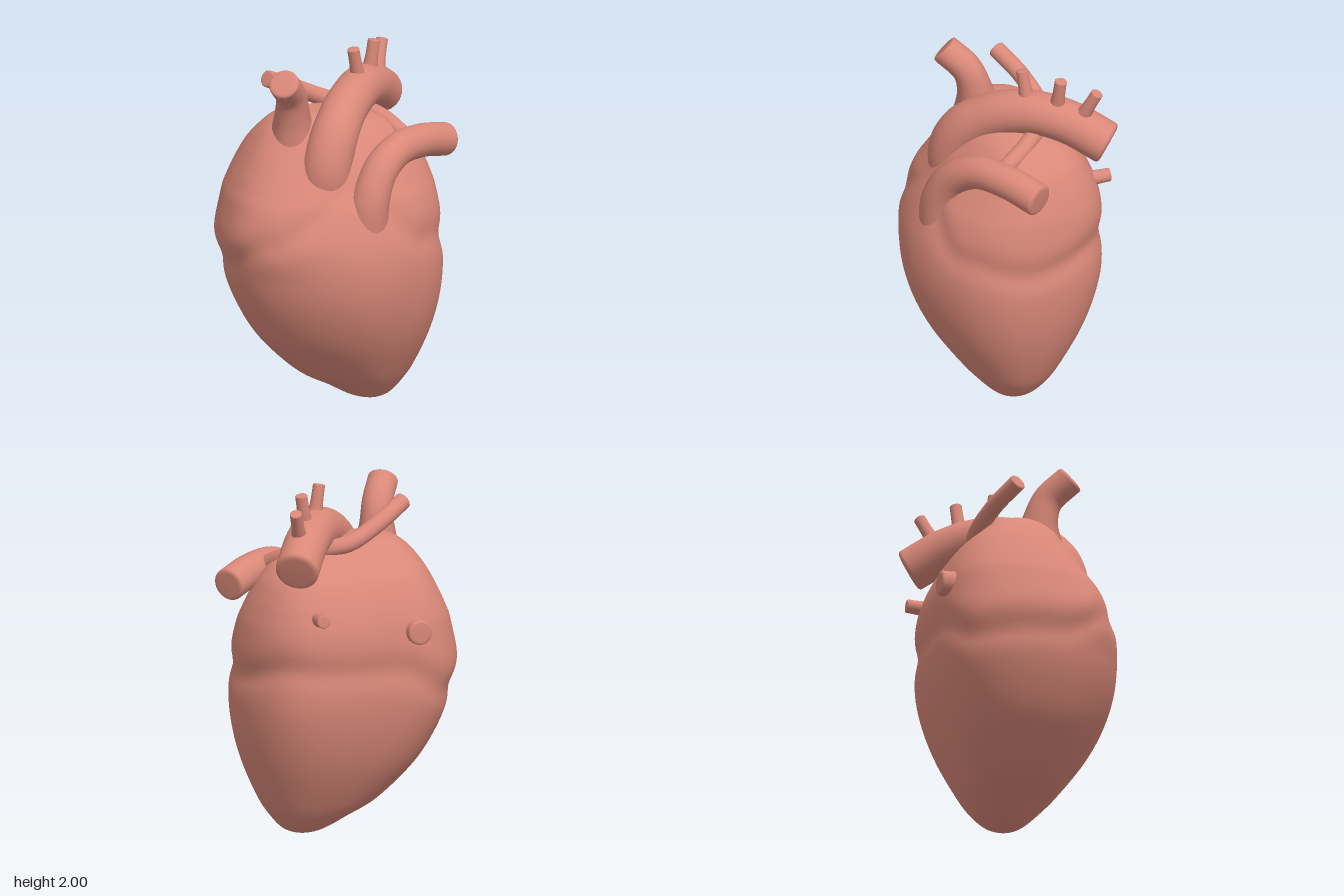
import * as THREE from 'three';

const material = new THREE.MeshStandardMaterial({ color: 0xd98878 });
const V = (p) => new THREE.Vector3(...p);

// Cross-sections of the body: y, xMin, xMax, zMin, zMax
const SECTIONS = [
  [0, 0.19, 0.19, 0, 0], [0.007, 0.125, 0.25, -0.065, 0.065], [0.035, 0.045, 0.31, -0.125, 0.12],
  [0.1, -0.07, 0.37, -0.2, 0.19], [0.2, -0.25, 0.435, -0.28, 0.28], [0.4, -0.455, 0.517, -0.395, 0.42],
  [0.6, -0.575, 0.567, -0.47, 0.51], [0.8, -0.645, 0.585, -0.51, 0.55], [1.0, -0.675, 0.575, -0.515, 0.535],
  [1.2, -0.638, 0.56, -0.505, 0.46], [1.3, -0.598, 0.535, -0.485, 0.4], [1.4, -0.55, 0.495, -0.445, 0.33],
  [1.5, -0.495, 0.435, -0.385, 0.26], [1.59, -0.43, 0.32, -0.29, 0.19], [1.65, -0.36, 0.16, -0.22, 0.12],
  [1.685, -0.28, 0, -0.13, 0.06], [1.69, -0.15, -0.15, -0.04, -0.04],
];

// Height of the groove between upper and lower chambers, every 45 degrees from +x through +z
const GROOVE = [0.93, 1.0, 1.31, 1.04, 0.86, 0.83, 1.0, 1.02];
function grooveHeight(a) {
  const t = (a / (Math.PI * 2)) * 8, i = Math.floor(t) % 8, f = t - Math.floor(t);
  const s = f * f * (3 - 2 * f);
  return GROOVE[i] * (1 - s) + GROOVE[(i + 1) % 8] * s;
}
const bump = (d, w) => Math.exp(-(d * d) / (w * w));

function bodyGeometry() {
  const mid = new THREE.CatmullRomCurve3(
    SECTIONS.map(([y, a, b, c, d]) => V([(a + b) / 2, y, (c + d) / 2])), false, 'catmullrom');
  const half = new THREE.CatmullRomCurve3(
    SECTIONS.map(([, a, b, c, d]) => V([(b - a) / 2, 0, (d - c) / 2])), false, 'catmullrom');
  const rows = 112, cols = 120, pos = [], index = [];
  for (let r = 0; r <= rows; r++) {
    const m = mid.getPoint(r / rows), h = half.getPoint(r / rows);
    const upper = THREE.MathUtils.smoothstep(m.y, 0.8, 1.1);
    for (let k = 0; k < cols; k++) {
      const a = (k / cols) * Math.PI * 2, c = Math.cos(a), s = Math.sin(a);
      // squarer at the back and on the upper right, rounder in front
      const n = 2.1 + (s < 0 ? -1.0 * s * Math.min(1, m.y * 1.3) : -0.25 * s) + (c < 0 && s > 0 ? -0.45 * c * upper : 0);
      const x = Math.sign(c) * Math.abs(c) ** (2 / n), z = Math.sign(s) * Math.abs(s) ** (2 / n);
      // soft groove around the heart, swelling above it, and a shallow front furrow
      const d = m.y - grooveHeight(a);
      const furrow = bump(a - (1.05 - 0.5 * (m.y - 0.6)), 0.3) * bump(m.y - 0.65, 0.3);
      const scale = 1 - 0.03 * bump(d, 0.075) + 0.012 * bump(d - 0.14, 0.1) - 0.015 * furrow;
      pos.push(m.x + h.x * x * scale, m.y, m.z + h.z * z * scale);
      if (r < rows) {
        const p = r * cols + k, q = r * cols + (k + 1) % cols;
        index.push(p, p + cols, q, q, p + cols, q + cols);
      }
    }
  }
  const g = new THREE.BufferGeometry();
  g.setAttribute('position', new THREE.Float32BufferAttribute(pos, 3));
  g.setIndex(index);
  g.computeVertexNormals();
  return g;
}

export function createModel() {
  const model = new THREE.Group();
  model.name = 'heart';
  const add = (name, geometry, parent = model) => {
    const mesh = new THREE.Mesh(geometry, material);
    mesh.name = name;
    parent.add(mesh);
    return mesh;
  };

  // Vessel: a tube that widens at its root and has a softly rounded free end
  function vessel(name, radius, points, flare = 0, reach = 0.3) {
    const group = new THREE.Group();
    group.name = name;
    model.add(group);
    const curve = new THREE.CatmullRomCurve3(points.map(V));
    const rows = 56, sides = 28;
    const wall = new THREE.TubeGeometry(curve, rows, radius, sides);
    const pos = wall.attributes.position, p = new THREE.Vector3();
    for (let i = 0; i <= rows; i++) {
      const centre = curve.getPointAt(i / rows), widen = 1 + flare * bump(i / rows, reach);
      for (let j = 0; j <= sides; j++) {
        const v = i * (sides + 1) + j;
        p.fromBufferAttribute(pos, v).sub(centre).multiplyScalar(widen).add(centre);
        pos.setXYZ(v, p.x, p.y, p.z);
      }
    }
    add(name + 'Wall', wall, group);
    const profile = [[1, 0], [0.98, 0.08], [0.9, 0.15], [0.75, 0.18], [0, 0.19]]
      .map(([x, y]) => new THREE.Vector2(x * radius, y * radius));
    const cap = add(name + 'End', new THREE.LatheGeometry(profile, sides), group);
    cap.position.copy(curve.getPoint(1));
    cap.quaternion.setFromUnitVectors(new THREE.Vector3(0, 1, 0), curve.getTangent(1));
  }

  add('body', bodyGeometry());

  // Great arch and its three branches
  vessel('aorta', 0.122, [[-0.15, 1.2, 0.2], [-0.14, 1.42, 0.23], [-0.085, 1.57, 0.185],
    [0, 1.67, 0.08], [0.09, 1.725, -0.03], [0.19, 1.742, -0.16], [0.3, 1.705, -0.31],
    [0.41, 1.615, -0.465]], 0.2, 0.35);
  [[[0.16, 1.78, -0.1], [0.12, 1.99, -0.08]],
    [[0.26, 1.78, -0.23], [0.295, 1.98, -0.245]],
    [[0.34, 1.74, -0.34], [0.4, 1.925, -0.42]]]
    .forEach((ends, i) => vessel('archBranch' + (i + 1), 0.034, ends, 0.4, 0.4));

  // Front trunk and the thin vessel passing under the arch
  vessel('pulmonaryTrunk', 0.094, [[0.04, 1.04, 0.37], [0.065, 1.25, 0.375], [0.14, 1.4, 0.325],
    [0.27, 1.485, 0.235], [0.45, 1.49, 0.12], [0.62, 1.45, 0.01]], 0.3, 0.3);
  vessel('rightPulmonaryArtery', 0.048, [[0.36, 1.52, 0.12], [0.27, 1.6, -0.05], [0.14, 1.645, -0.18],
    [0, 1.68, -0.23], [-0.2, 1.775, -0.19], [-0.37, 1.86, -0.11]]);

  // Upper vein
  vessel('upperVein', 0.085, [[-0.27, 1.48, 0.04], [-0.28, 1.67, 0.05], [-0.3, 1.81, 0.09],
    [-0.375, 1.915, 0.19]], 0.7, 0.36);

  // Vein stubs at the back
  vessel('lowerVein', 0.07, [[-0.3, 1.21, -0.4], [-0.3, 1.21, -0.535]], 0.3, 0.45);
  vessel('pulmonaryVein', 0.038, [[0.26, 1.31, -0.35], [0.28, 1.325, -0.535]], 0.4, 0.45);

  return model;
}
